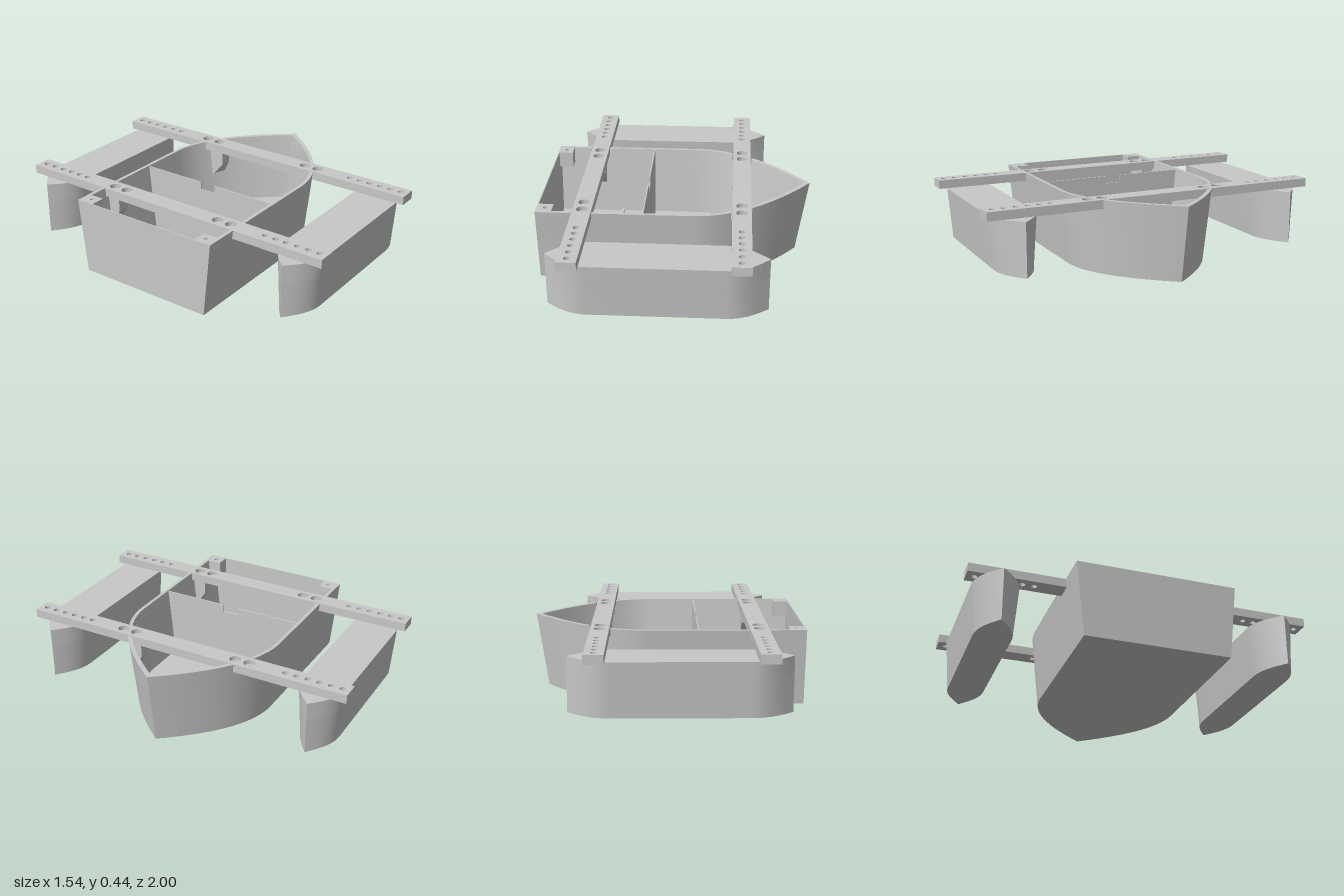
import * as THREE from 'three';
import { toCreasedNormals } from 'three/addons/utils/BufferGeometryUtils.js';

const TOP = 0.435, SEAT = 0.385, STERN = -0.77, BOW = 0.773, HALF = 0.459, WALL = 0.02;
const STERN_IN = STERN + 0.006, BOW_IN = 0.738;
const BEAMS = [-0.513, 0.377];
const grey = new THREE.MeshStandardMaterial({ color: 0xc8c8c8 });
grey.name = 'grey plastic';

const V = (x, y) => new THREE.Vector2(x, y);

// Half width of the deck outline at x; inner = inside face of the wall
function halfWidth(x, inner) {
  const side = inner ? HALF - WALL : HALF;
  if (x <= 0.1) return side;
  const k = ((inner ? BOW_IN : BOW) - 0.1) / 0.67;
  const bez = (t, a, b, c, d) =>
    a * (1 - t) ** 3 + 3 * b * t * (1 - t) ** 2 + 3 * c * t * t * (1 - t) + d * t ** 3;
  let lo = 0, hi = 1;
  for (let i = 0; i < 40; i++) {
    const t = (lo + hi) / 2;
    if (0.1 + k * bez(t, 0, 0.27, 0.5, 0.67) < x) lo = t; else hi = t;
  }
  return bez(lo, 1, 1, 0.484, 0) * side;
}

// Points along one side from x = a to x = b
function sideLine(a, b, inner, sign = 1) {
  const pts = a < 0.1 && b > 0.1 ? [V(a, sign * halfWidth(a, inner))] : [];
  const from = pts.length ? 0.1 : a;
  for (let i = 0; i <= 24; i++) {
    const x = from + (b - from) * i / 24;
    pts.push(V(x, sign * halfWidth(x, inner)));
  }
  return pts;
}

// Counterclockwise outline running from one side round the bow to the other
function aroundBow(a, inner) {
  const tip = inner ? BOW_IN : BOW;
  const right = sideLine(a, tip, inner, -1).slice(0, -1);
  const left = sideLine(a, tip, inner).slice(0, -1).reverse();
  return [...right, V(tip, 0), ...left];
}

// Plan shape (x, z) raised from y0 to y1, then reshaped by an optional rule
function slab(shape, y0, y1, rule) {
  const g = new THREE.ExtrudeGeometry(shape, { depth: y1 - y0, bevelEnabled: false, curveSegments: 20 });
  g.rotateX(Math.PI / 2).translate(0, y1, 0);
  if (rule) reshape(g, rule);
  return toCreasedNormals(g, 0.45);
}

// Move every vertex in plan by a rule
function reshape(g, rule) {
  const p = g.attributes.position;
  for (let i = 0; i < p.count; i++) {
    const [x, z] = rule(p.getX(i), p.getY(i), p.getZ(i));
    p.setXYZ(i, x, p.getY(i), z);
  }
}

// Hull sides and bow draw in towards the keel
const flare = (x, y, z) => {
  const f = 1 - y / TOP;
  return [x > 0.1 ? 0.1 + (x - 0.1) * (1 - 0.097 * f) : x, z * (1 - 0.1 * f)];
};

// Keep a point from passing through the hull side
const insideWall = (x, y, z) => {
  const f = 1 - y / TOP;
  const limit = (halfWidth(x + 0.03 * f, false) - 0.01) * (1 - 0.1 * f);
  return [x, Math.sign(z) * Math.min(Math.abs(z), limit)];
};

function add(parent, name, geometry) {
  const m = new THREE.Mesh(geometry, grey);
  m.name = name;
  parent.add(m);
}

function circle(x, z, r) {
  return new THREE.Path().absarc(x, z, r, 0, Math.PI * 2, true);
}

function rect(x0, x1, z0, z1) {
  return new THREE.Shape([V(x0, z0), V(x1, z0), V(x1, z1), V(x0, z1)]);
}

function buildHull() {
  const hull = new THREE.Group();
  hull.name = 'hull';
  add(hull, 'hullFloor', slab(new THREE.Shape(aroundBow(STERN, false)), 0, 0.02, flare));

  const walls = new THREE.Shape(aroundBow(STERN, false));
  walls.holes.push(new THREE.Path(aroundBow(STERN_IN, true)));
  add(hull, 'hullWalls', slab(walls, 0.02, SEAT, flare));

  // Gunwale, interrupted where the crossbeams sit
  const o = HALF, n = HALF - WALL, s = -0.568, t = STERN_IN;
  const stern = [V(s, o), V(STERN, o), V(STERN, -o), V(s, -o), V(s, -n), V(t, -n), V(t, n), V(s, n)];
  add(hull, 'sternRim', slab(new THREE.Shape(stern), SEAT, TOP, flare));
  for (const sign of [1, -1]) {
    const rim = [...sideLine(-0.455, 0.318, false, sign), ...sideLine(-0.455, 0.318, true, sign).reverse()];
    add(hull, 'sideRim', slab(new THREE.Shape(rim), SEAT, TOP, flare));
  }
  const bow = [...aroundBow(0.436, false), ...aroundBow(0.436, true).reverse()];
  add(hull, 'bowRim', slab(new THREE.Shape(bow), SEAT, TOP, flare));

  // Stern corner blocks with a screw hole
  for (const sign of [1, -1]) {
    const block = rect(STERN + 0.002, -0.68, sign > 0 ? 0.355 : -0.445, sign > 0 ? 0.445 : -0.355);
    block.holes.push(circle(-0.72, sign * 0.4, 0.012));
    add(hull, 'cornerBlock', slab(block, 0.34, TOP));
  }

  // Bulkhead with a cable notch
  const b = [V(-0.4, 0.015), V(0.4, 0.015), V(0.438, 0.43), V(0.05, 0.43), V(0.05, 0.385),
    V(-0.05, 0.385), V(-0.05, 0.43), V(-0.438, 0.43)];
  const plate = new THREE.ExtrudeGeometry(new THREE.Shape(b), { depth: 0.008, bevelEnabled: false });
  add(hull, 'bulkhead', plate.rotateY(Math.PI / 2).translate(-0.176, 0, 0));

  // Low floor ribs
  for (const x of [-0.65, -0.36]) {
    add(hull, 'floorRib', new THREE.BoxGeometry(0.014, 0.09, 0.52).translate(x, 0.06, 0));
  }

  // Tapered brackets that carry the crossbeams, trimmed to the hull side
  for (const [x, reach] of [[BEAMS[0], 0.355], [BEAMS[1], 0.27]]) {
    for (const sign of [1, -1]) {
      const profile = [V(0.5, SEAT), V(reach, SEAT), V(reach, 0.3), V(0.5, 0.2)];
      const g = new THREE.ExtrudeGeometry(new THREE.Shape(profile), { depth: 0.07, bevelEnabled: false });
      g.translate(0, 0, -0.035).rotateY(-sign * Math.PI / 2).translate(x, 0, 0);
      reshape(g, insideWall);
      g.computeVertexNormals();
      add(hull, 'beamBracket', g);
    }
  }
  return hull;
}

// Crossbeam in two layers, the upper one with wider counterbores
function buildBeam(mid) {
  const beam = new THREE.Group();
  beam.name = 'crossbeam';
  for (const [y0, y1, bore] of [[SEAT, 0.41, 0.017], [0.41, TOP, 0.032]]) {
    const shape = rect(mid - 0.0535, mid + 0.0535, -1, 1);
    for (const sign of [1, -1]) {
      for (const z of [0.625, 0.69, 0.755, 0.822, 0.889, 0.955]) shape.holes.push(circle(mid, sign * z, 0.017));
      for (const z of [0.32, 0.408]) shape.holes.push(circle(mid, sign * z, bore));
    }
    add(beam, 'beamLayer', slab(shape, y0, y1));
  }
  return beam;
}

// Outrigger float, pointed at both ends and narrower below, with blind screw holes
function buildFloat(sign) {
  const w = 0.132;
  const outline = () => new THREE.Shape()
    .moveTo(-0.655, 0)
    .bezierCurveTo(-0.6, -0.055, -0.53, -w, -0.43, -w)
    .lineTo(0.3, -w)
    .bezierCurveTo(0.4, -w, 0.47, -0.055, 0.528, 0)
    .bezierCurveTo(0.47, 0.055, 0.4, w, 0.3, w)
    .lineTo(-0.43, w)
    .bezierCurveTo(-0.53, w, -0.6, 0.055, -0.655, 0);
  const taper = (x, y, z) => [x, z * (1 - 0.2 * (SEAT - y) / 0.305)];
  const float = new THREE.Group();
  float.name = sign > 0 ? 'frontFloat' : 'backFloat';
  const upper = outline();
  for (const x of BEAMS) upper.holes.push(circle(x, 0, 0.012));
  add(float, 'floatTop', slab(upper, 0.285, SEAT, taper));
  add(float, 'floatBody', slab(outline(), 0.08, 0.285, taper));
  float.position.z = sign * 0.822;
  return float;
}

export function createModel() {
  const model = new THREE.Group();
  model.name = 'outriggerBoat';
  model.add(buildHull(), ...BEAMS.map(buildBeam), buildFloat(1), buildFloat(-1));
  return model;
}
